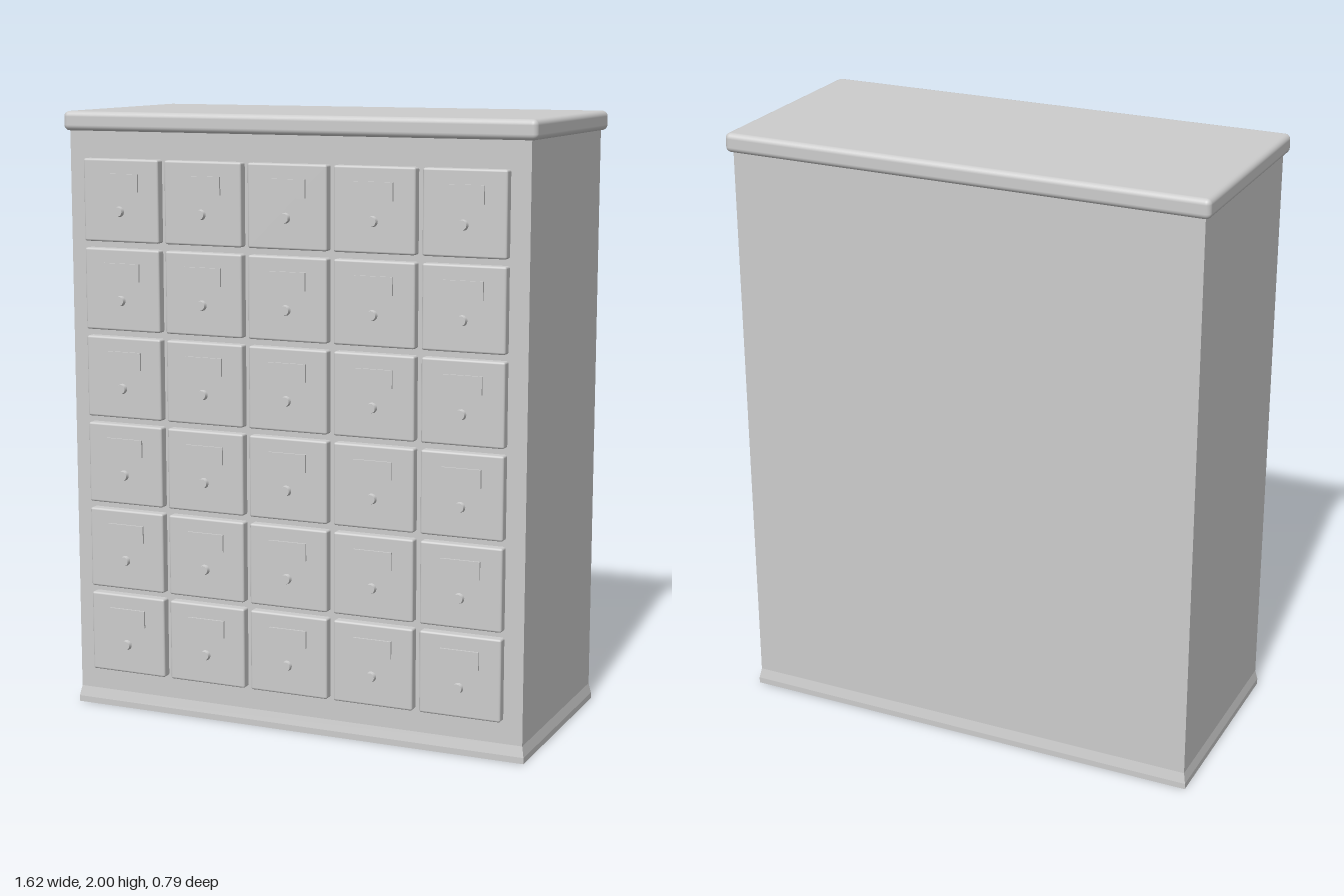
import * as THREE from 'three';
import { RoundedBoxGeometry } from 'three/addons/geometries/RoundedBoxGeometry.js';

const COLS = 5, ROWS = 6, PITCH_X = 0.295, PITCH_Y = 0.29, FRONT = 0.34;

export function createModel() {
  const paint = new THREE.MeshStandardMaterial({ color: 0xcccccc });
  paint.name = 'light grey';
  const cabinet = new THREE.Group();
  cabinet.name = 'drawerCabinet';

  const add = (parent, name, geometry, x, y, z) => {
    const mesh = new THREE.Mesh(geometry, paint);
    mesh.name = name;
    mesh.position.set(x, y, z);
    parent.add(mesh);
    return mesh;
  };

  // Box whose top is drawn in by a margin on every side
  const taperedBox = (w, h, d, inset) => {
    const g = new THREE.BoxGeometry(w, h, d);
    const p = g.attributes.position;
    for (let i = 0; i < p.count; i++) {
      if (p.getY(i) < 0) continue;
      p.setX(i, p.getX(i) - Math.sign(p.getX(i)) * inset);
      p.setZ(i, p.getZ(i) - Math.sign(p.getZ(i)) * inset);
    }
    g.computeVertexNormals();
    return g;
  };

  // Carcass, overhanging top and sloped skirting
  add(cabinet, 'body', new THREE.BoxGeometry(1.58, 1.93, 0.712), 0, 0.98, -0.016);
  add(cabinet, 'topBoard', new RoundedBoxGeometry(1.62, 0.063, 0.75, 3, 0.018), 0, 1.9685, -0.019);
  add(cabinet, 'skirtingFoot', new THREE.BoxGeometry(1.594, 0.02, 0.726), 0, 0.01, -0.016);
  add(cabinet, 'skirtingSlope', taperedBox(1.594, 0.035, 0.726, 0.007), 0, 0.0375, -0.016);

  // Shared drawer parts
  const panel = new RoundedBoxGeometry(0.272, 0.268, 0.06, 2, 0.007);
  const label = new THREE.BoxGeometry(0.13, 0.058, 0.012);
  const stem = new THREE.CylinderGeometry(0.012, 0.012, 0.02, 16).rotateX(Math.PI / 2);
  const knob = new THREE.CylinderGeometry(0.015, 0.017, 0.014, 20).rotateX(Math.PI / 2);

  // Grid of drawers
  for (let r = 0; r < ROWS; r++) {
    for (let c = 0; c < COLS; c++) {
      const drawer = new THREE.Group();
      drawer.name = `drawer_${r + 1}_${c + 1}`;
      drawer.position.set((c - (COLS - 1) / 2) * PITCH_X, 0.266 + r * PITCH_Y, FRONT);
      add(drawer, 'drawerFront', panel, 0, 0, 0.002);
      add(drawer, 'labelPlate', label, 0, 0.058, 0.033);
      add(drawer, 'knobStem', stem, 0, -0.034, 0.035);
      add(drawer, 'knob', knob, 0, -0.034, 0.048);
      cabinet.add(drawer);
    }
  }
  return cabinet;
}
